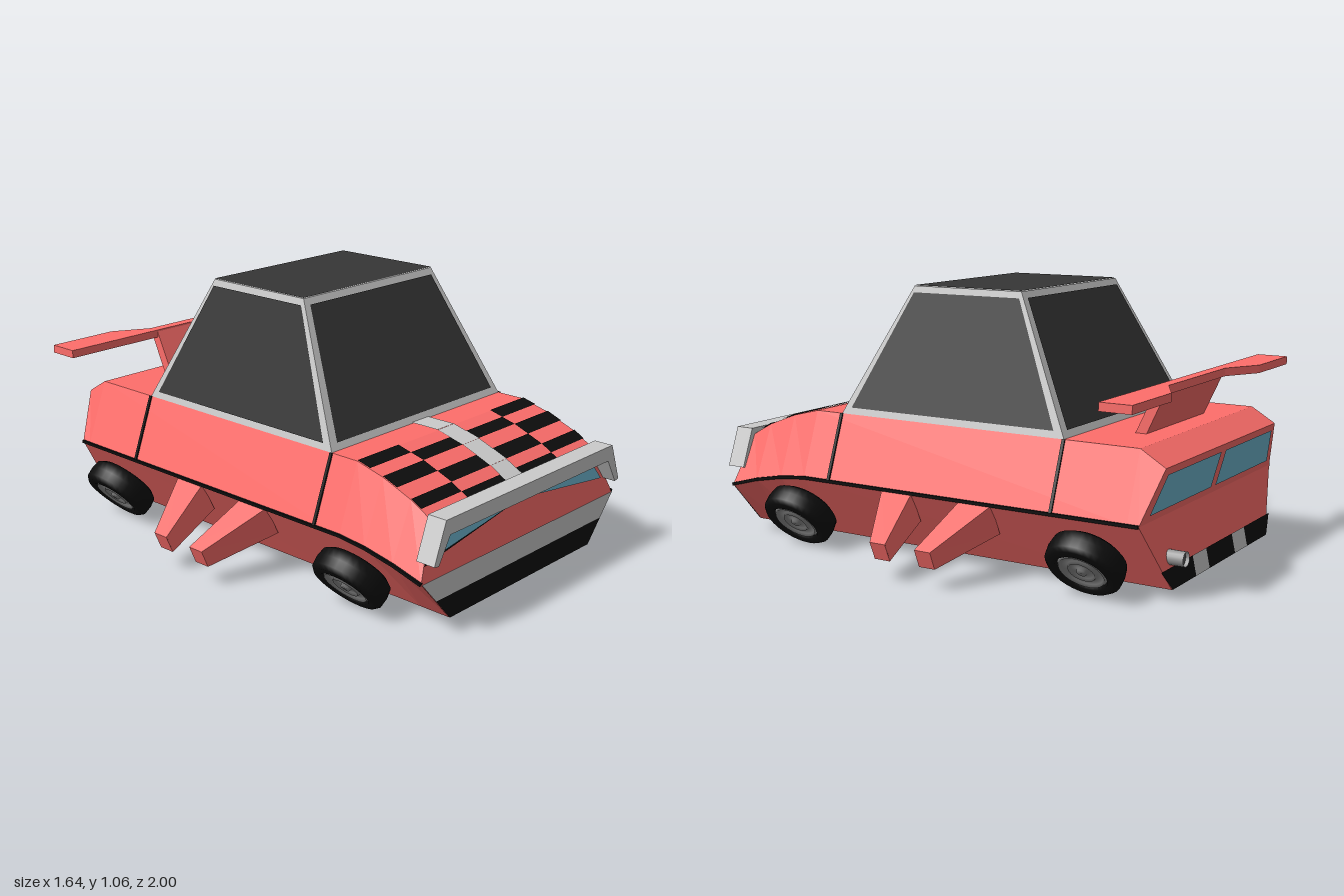
import * as THREE from 'three';

const RED = 0xff6e6b, BLACK = 0x0d0d0d, GREY = 0xcccccc, GLASS = 0x363636, BLUE = 0x72bcd6;
const V = (x, y, z) => new THREE.Vector3(x, y, z);
const mat = (color, flat = true) =>
  new THREE.MeshStandardMaterial({ color, flatShading: flat, side: THREE.DoubleSide });

function add(parent, name, geo, color, flat = true) {
  const m = new THREE.Mesh(geo, mat(color, flat));
  m.name = name;
  parent.add(m);
  return m;
}

function fromPoints(points) {
  const g = new THREE.BufferGeometry().setFromPoints(points);
  g.computeVertexNormals();
  return g;
}

// Closed solid through rings of equal point count, capped at both ends
function loft(rings) {
  const out = [], n = rings[0].length;
  const quad = (a, b, c, d) => out.push(a, b, c, a, c, d);
  for (let j = 0; j < rings.length - 1; j++)
    for (let i = 0; i < n; i++) {
      const k = (i + 1) % n;
      quad(rings[j][i], rings[j][k], rings[j + 1][k], rings[j + 1][i]);
    }
  const first = rings[0], last = rings[rings.length - 1];
  for (let k = 0; k < n / 2 - 1; k++) {
    const q = [(n - k) % n, 1 + k, 2 + k, n - 1 - k];
    quad(...q.map(i => last[i]));
    quad(...q.map(i => first[i]).reverse());
  }
  return fromPoints(out);
}

// Thin flat panel, corners counter-clockwise from outside, lifted off its surface
function panel(parent, name, pts, color, lift = 0.004) {
  const nrm = pts[1].clone().sub(pts[0]).cross(pts[2].clone().sub(pts[0])).normalize();
  const p = pts.map(v => v.clone().addScaledVector(nrm, lift)), out = [];
  for (let i = 1; i < p.length - 1; i++) out.push(p[0], p[i], p[i + 1]);
  return add(parent, name, fromPoints(out), color);
}

// Thin square bar between two points
function bar(parent, name, a, b, t, color) {
  const m = add(parent, name, new THREE.BoxGeometry(t, t, a.distanceTo(b)), color);
  m.position.copy(a).add(b).multiplyScalar(0.5);
  m.lookAt(b);
}

// Body stations: z at bottom, z at belt, z at top, belt height, top height
const STATIONS = [
  [-0.96, -0.905, -0.96, 0.305, 0.5],
  [-0.86, -0.86, -0.86, 0.305, 0.56],
  [0.58, 0.58, 0.58, 0.302, 0.56],
  [0.7, 0.7, 0.7, 0.29, 0.53],
  [0.83, 0.83, 0.83, 0.265, 0.48],
  [0.96, 0.96, 0.92, 0.23, 0.43],
];

function hoodY(z) {
  for (let i = 1; i < STATIONS.length; i++) {
    const a = STATIONS[i - 1], b = STATIONS[i];
    if (z <= b[2]) return THREE.MathUtils.mapLinear(z, a[2], b[2], a[4], b[4]);
  }
  return 0.43;
}

function addBody(car) {
  add(car, 'body', loft(STATIONS.map(([zb, zm, zt, yb, yt]) => [
    V(-0.44, 0.05, zb), V(0.44, 0.05, zb), V(0.6, yb, zm),
    V(0.505, yt, zt), V(-0.505, yt, zt), V(-0.6, yb, zm),
  ])), RED);
  for (const s of [-1, 1]) {
    for (let i = 1; i < STATIONS.length; i++) {
      const a = STATIONS[i - 1], b = STATIONS[i];
      bar(car, 'beltTrim', V(s * 0.6, a[3], a[1]), V(s * 0.6, b[3], b[1]), 0.012, BLACK);
    }
    for (const z of [0.455, -0.555])
      bar(car, 'doorLine', V(s * 0.505, 0.56, z), V(s * 0.6, 0.305, z), 0.012, BLACK);
  }
}

function addHood(car) {
  const patch = (name, x0, x1, z0, z1, color) => panel(car, name, [
    V(x0, hoodY(z1), z1), V(x1, hoodY(z1), z1), V(x1, hoodY(z0), z0), V(x0, hoodY(z0), z0),
  ], color);
  const rows = [0.58, 0.64, 0.7, 0.765, 0.83, 0.875, 0.92];
  for (let i = 0; i < 6; i++) {
    const [a, b] = i % 2 ? [0.05, 0.28] : [0.28, 0.505];
    patch('hoodCheck', a, b, rows[i], rows[i + 1], BLACK);
    patch('hoodCheck', -b, -a, rows[i], rows[i + 1], BLACK);
    patch('hoodStripe', -0.05, 0.05, rows[i], rows[i + 1], GREY);
  }
  patch('hoodStripe', -0.05, 0.05, 0.45, 0.58, GREY);
}

function addNose(car) {
  const band = (name, y0, y1, w0, w1, color) => panel(car, name,
    [V(-w0, y0, 0.96), V(w0, y0, 0.96), V(w1, y1, 0.96), V(-w1, y1, 0.96)], color);
  band('frontSkirt', 0.05, 0.14, 0.44, 0.52, BLACK);
  band('frontBumper', 0.14, 0.23, 0.52, 0.6, GREY);
  // Lamps lie on the sloped upper nose
  const N = (x, y) => V(x, y, 0.96 - (y - 0.23) * 0.2);
  for (const s of [-1, 1]) {
    const side = pts => s > 0 ? pts : pts.reverse();
    panel(car, 'lampFrame', side([N(0, 0.365), N(s * 0.52, 0.295), N(s * 0.575, 0.285),
      N(s * 0.5, 0.4), N(0, 0.4)]), BLACK, 0.004);
    panel(car, 'headlamp', side([N(0, 0.367), N(s * 0.526, 0.303), N(s * 0.48, 0.37)]), BLUE, 0.008);
  }
  // Chrome brow with short legs at its ends
  const brow = new THREE.Shape([[-0.58, 0.3], [-0.52, 0.455], [0.52, 0.455], [0.58, 0.3],
    [0.555, 0.295], [0.495, 0.395], [-0.495, 0.395], [-0.555, 0.295]].map(p => new THREE.Vector2(...p)));
  add(car, 'chromeBrow', new THREE.ExtrudeGeometry(brow, { depth: 0.08, bevelEnabled: false }), GREY)
    .position.z = 0.92;
}

function addTail(car) {
  // Rear lamps
  const U = (x, y) => V(x, y, THREE.MathUtils.mapLinear(y, 0.305, 0.5, -0.905, -0.96));
  panel(car, 'rearLamp', [U(0.54, 0.335), U(0.02, 0.335), U(0.02, 0.475), U(0.48, 0.475)], BLUE);
  panel(car, 'rearLamp', [U(-0.02, 0.335), U(-0.54, 0.335), U(-0.48, 0.475), U(-0.02, 0.475)], BLUE);
  // Banded rear skirt
  const L = (x, y) => V(x, y, THREE.MathUtils.mapLinear(y, 0.05, 0.305, -0.96, -0.905));
  const xs = [-0.44, -0.24, -0.12, 0.12, 0.24, 0.44];
  for (let i = 0; i < 5; i++) {
    const top = x => Math.abs(x) > 0.4 ? x * 1.14 : x;
    panel(car, 'rearSkirt', [L(xs[i + 1], 0.05), L(xs[i], 0.05), L(top(xs[i]), 0.125),
      L(top(xs[i + 1]), 0.125)], i % 2 ? GREY : BLACK);
  }
  // Exhaust pipe
  const pipe = add(car, 'exhaustPipe', new THREE.CylinderGeometry(0.028, 0.028, 0.1, 16, 1, true), 0x999999, false);
  pipe.rotation.x = Math.PI / 2;
  pipe.position.set(0.41, 0.16, -0.95);
  add(car, 'exhaustBore', new THREE.CircleGeometry(0.028, 16), 0x555555).position.set(0.41, 0.16, -0.985);
}

function addCabin(car) {
  const ring = (y, x, z0, z1) => [V(-x, y, z1), V(x, y, z1), V(x, y, z0), V(-x, y, z0)];
  const low = ring(0.56, 0.505, -0.555, 0.455), high = ring(1.067, 0.373, -0.295, 0.19);
  add(car, 'cabinFrame', loft([low, high]), GREY);
  for (let i = 0; i < 4; i++) {
    const k = (i + 1) % 4;
    const at = (u, v) => low[i].clone().lerp(low[k], u).lerp(high[i].clone().lerp(high[k], u), v);
    panel(car, 'window', [at(0.033, 0.05), at(0.967, 0.05), at(0.967, 0.95), at(0.033, 0.95)], GLASS);
  }
  panel(car, 'roof', high, GLASS, 0.003);
}

function addSpoiler(car) {
  const wing = new THREE.Shape([[-0.705, 0.8], [0.705, 0.8], [0.705, 0.927], [0.405, 0.927],
    [0.255, 0.845], [-0.255, 0.845], [-0.405, 0.927], [-0.705, 0.927]].map(p => new THREE.Vector2(...p)));
  const w = add(car, 'spoilerWing', new THREE.ExtrudeGeometry(wing, { depth: 0.032, bevelEnabled: false }), RED);
  w.rotation.x = -Math.PI / 2;
  w.position.y = 0.715;
  const strut = x => [V(x, 0.55, -0.755), V(x, 0.55, -0.71), V(x, 0.74, -0.8), V(x, 0.74, -0.844)];
  add(car, 'spoilerStrut', loft([strut(-0.255), strut(0.255)]), RED);
}

function addSidePipes(car) {
  for (const s of [-1, 1])
    for (const d of [-1, 1]) {
      const P = (x, y, z) => V(s * x, y, -0.05 + d * z);
      const base = [P(0.59, 0.3, 0.25), P(0.59, 0.3, 0.11), P(0.53, 0.18, 0.11), P(0.53, 0.18, 0.25)];
      const tip = [P(0.82, 0.16, 0.135), P(0.82, 0.16, 0.066), P(0.79, 0.09, 0.066), P(0.79, 0.09, 0.135)];
      add(car, 'sidePipe', loft([base, tip]), RED);
      panel(car, 'sidePipeOutlet', s * d > 0 ? tip : tip.slice().reverse(), BLACK, 0.002);
    }
}

function addWheels(car) {
  const lathe = pts => new THREE.LatheGeometry(pts.map(p => new THREE.Vector2(...p)), 32);
  const tire = lathe([[0, -0.1], [0.12, -0.1], [0.142, -0.085], [0.148, -0.05], [0.145, -0.015],
    [0.13, 0], [0.1, 0], [0.092, -0.02]]);
  const hub = lathe([[0.095, -0.012], [0.088, -0.002], [0.08, -0.012], [0.058, -0.014], [0.052, -0.004],
    [0.045, -0.013], [0.022, -0.013], [0.018, -0.002], [0, -0.002]]);
  for (const s of [-1, 1])
    for (const z of [0.62, -0.69]) {
      const wheel = new THREE.Group();
      wheel.name = 'wheel';
      add(wheel, 'tire', tire, BLACK, false);
      add(wheel, 'hub', hub, 0x8c8c8c, false);
      wheel.position.set(s * 0.615, 0.11, z);
      // Cambered to sit flush on the slanted lower side
      wheel.quaternion.setFromUnitVectors(V(0, 1, 0), V(s * 0.757, -0.655, 0).normalize());
      car.add(wheel);
    }
}

export function createModel() {
  const car = new THREE.Group();
  car.name = 'car';
  [addBody, addHood, addNose, addTail, addCabin, addSpoiler, addSidePipes, addWheels].forEach(f => f(car));
  return car;
}
